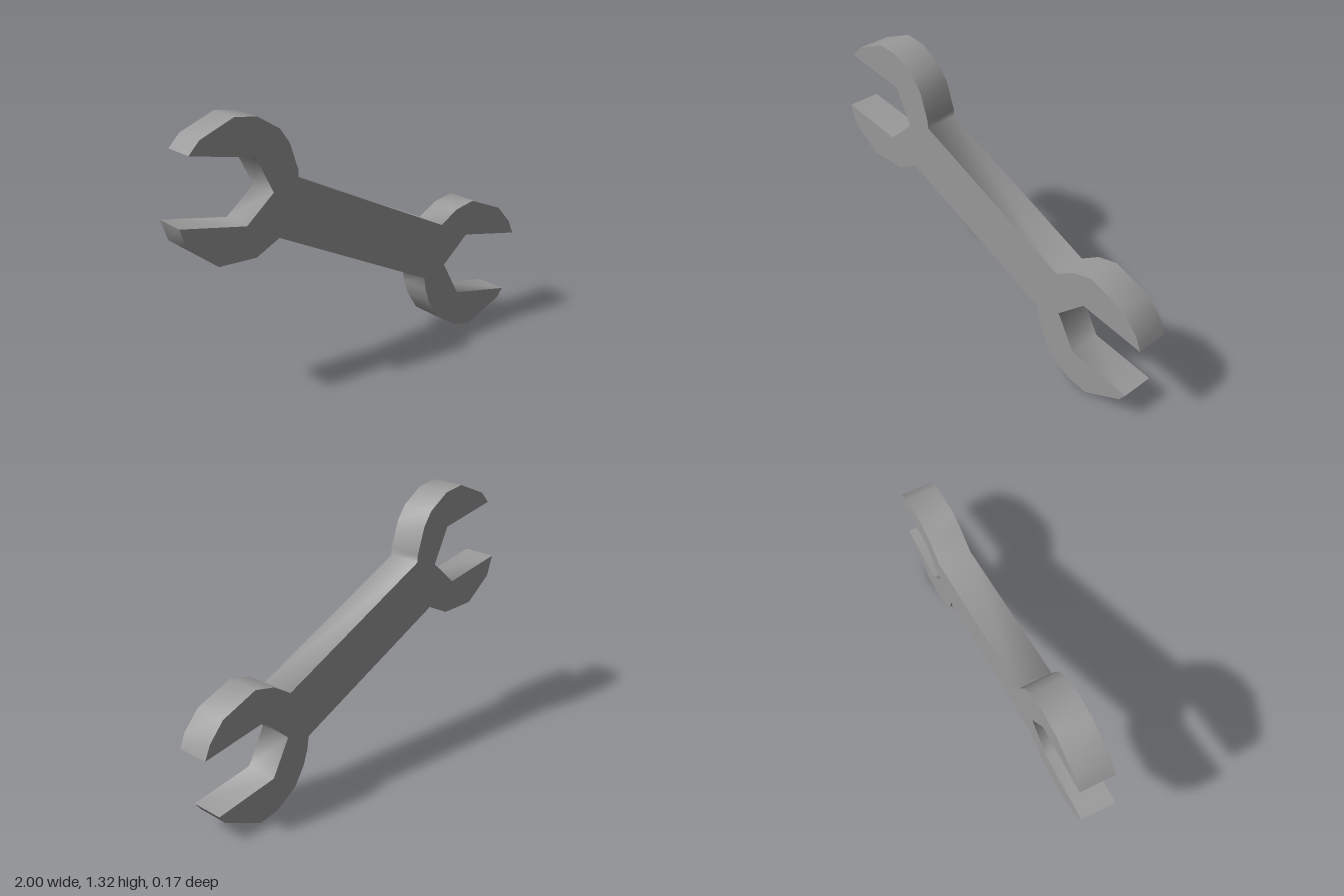
import * as THREE from 'three';
import { toCreasedNormals } from 'three/addons/utils/BufferGeometryUtils.js';

const THICKNESS = 0.17;

// Upper left head, clockwise from its upper jaw tip to the handle
const upperHeadBack = [
  [-0.94, 1.185], [-0.885, 1.245], [-0.71, 1.32], [-0.595, 1.305],
  [-0.48, 1.235], [-0.43, 1.165], [-0.385, 1.03], [-0.385, 0.995],
];
// Lower right head: outer jaw, open mouth, lower jaw
const lowerHead = [
  [0.49, 0.592], [0.59, 0.655], [0.70, 0.68], [0.89, 0.605], [0.97, 0.515], [1.0, 0.445],
  [0.66, 0.505], [0.512, 0.373], [0.608, 0.197],
  [0.94, 0.14], [0.905, 0.095], [0.70, 0], [0.595, 0.018],
  [0.475, 0.095], [0.415, 0.19], [0.39, 0.265], [0.38, 0.33],
];
// Upper left head: lower jaw and open mouth
const upperHeadFront = [
  [-0.495, 0.732], [-0.62, 0.665], [-0.815, 0.665], [-0.965, 0.775], [-1.0, 0.876],
  [-0.665, 0.822], [-0.52, 0.95], [-0.61, 1.126],
];

export function createModel() {
  const group = new THREE.Group();
  group.name = 'openEndWrench';

  // The handle's straight edges join the two heads in one flat plate
  const outline = [...upperHeadBack, ...lowerHead, ...upperHeadFront];
  const shape = new THREE.Shape(outline.map(([x, y]) => new THREE.Vector2(x, y)));
  const plate = new THREE.ExtrudeGeometry(shape, { depth: THICKNESS, bevelEnabled: false });
  plate.translate(0, 0, -THICKNESS / 2);

  // Smooth all along the rim, sharp at the flat faces and jaw tips
  const wrench = new THREE.Mesh(
    toCreasedNormals(plate, 1.4),
    new THREE.MeshStandardMaterial({ color: 0x9a9a9a }),
  );
  wrench.name = 'wrenchBody';
  group.add(wrench);
  return group;
}
